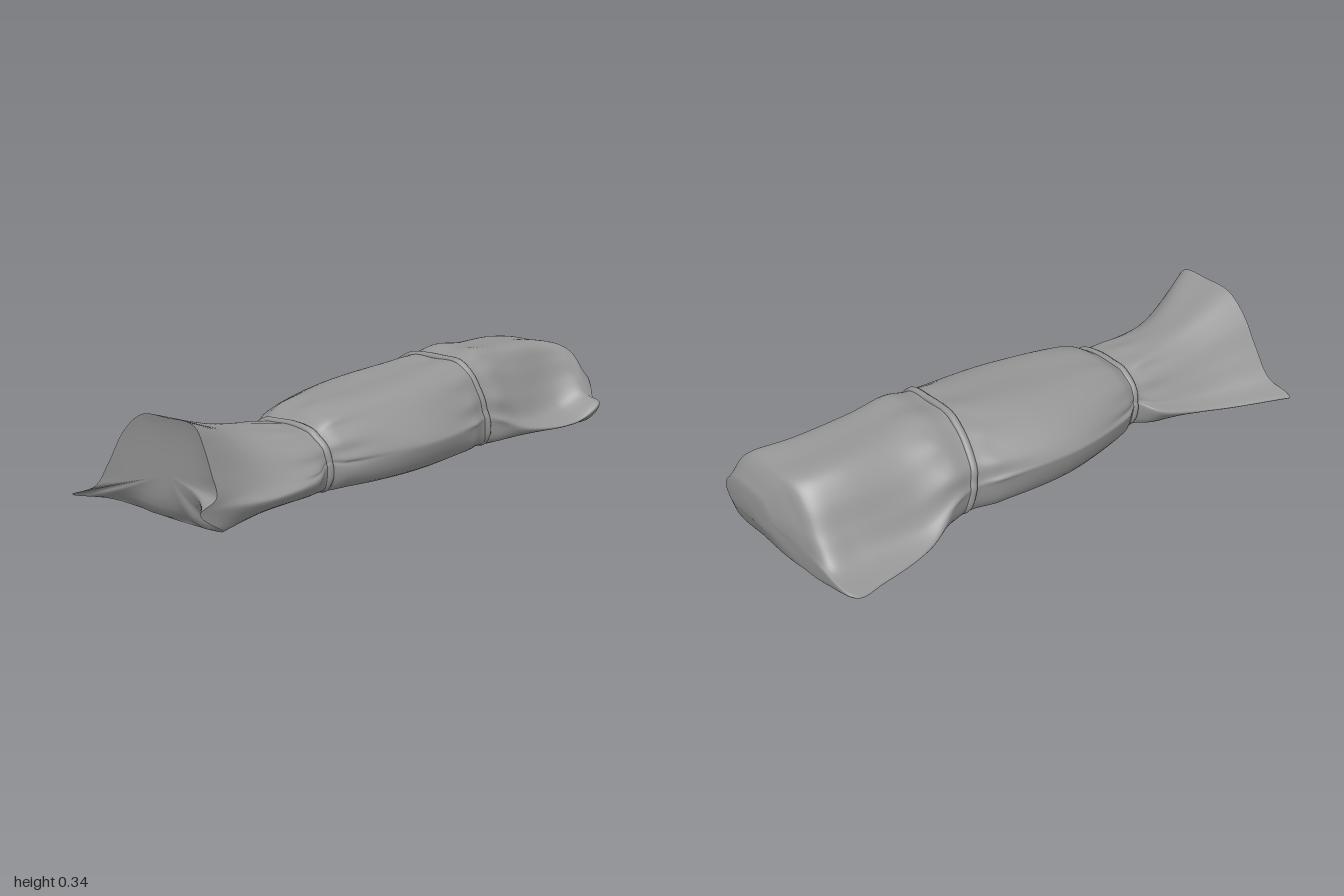
import * as THREE from 'three';

const V = (x, y, z) => new THREE.Vector3(x, y, z);
const lerp = THREE.MathUtils.lerp;
const SIDES = 96, STEPS = 8;
const TIES = [-0.38, 0.39];

// Cross-sections from head to foot:
// z, left edge x/y, left shoulder x, right shoulder x, right edge x/y, height, left and right fullness
const ROWS = [
  [-0.995, 0.01, 0.13, 0.06, 0.2, 0.27, 0.13, 0.2, 0.9, 0.9],
  [-0.96, -0.13, 0.07, 0.0, 0.2, 0.31, 0.08, 0.262, 0.85, 0.6],
  [-0.93, -0.36, 0.028, -0.05, 0.18, 0.355, 0.09, 0.288, 0.42, 0.38],
  [-0.82, -0.345, 0.022, -0.08, 0.14, 0.335, 0.035, 0.308, 0.43, 0.3],
  [-0.6, -0.295, 0.03, -0.08, 0.14, 0.28, 0.04, 0.317, 0.6, 0.55],
  [-0.46, -0.25, 0.1, -0.08, 0.15, 0.25, 0.08, 0.328, 0.82, 0.8],
  [-0.38, -0.235, 0.11, -0.08, 0.15, 0.235, 0.1, 0.312, 0.85, 0.8],
  [-0.29, -0.262, 0.12, -0.08, 0.15, 0.265, 0.1, 0.306, 0.82, 0.75],
  [0.0, -0.29, 0.13, -0.09, 0.15, 0.295, 0.1, 0.283, 0.82, 0.75],
  [0.32, -0.19, 0.1, -0.08, 0.13, 0.225, 0.09, 0.245, 0.85, 0.8],
  [0.39, -0.15, 0.1, -0.07, 0.12, 0.2, 0.1, 0.21, 0.85, 0.85],
  [0.46, -0.205, 0.07, -0.07, 0.1, 0.23, 0.08, 0.217, 0.55, 0.75],
  [0.67, -0.275, 0.03, -0.06, 0.07, 0.255, 0.07, 0.25, 0.5, 0.62],
  [0.935, -0.37, 0.02, -0.04, 0.18, 0.27, 0.1, 0.338, 0.5, 0.8],
];

// Points from the shoulder down to the outer edge on one side
const side = (s, x, y, h, k, z) => [
  V(s, h * 0.975, z),
  V(lerp(s, x, k * 0.55), lerp(y, h, 0.75), z),
  V(lerp(s, x, k), lerp(y, h, 0.42), z),
  V(lerp(s, x, Math.min(k + 0.2, 0.97)), lerp(y, h, 0.14), z),
];

// Control points round one cross-section: left edge, over the top, right edge, underside
function controls([z, xL, yL, sL, sR, xR, yR, h, kL, kR]) {
  const flare = Math.max(0, z - 0.67);
  const zBase = z - flare * 0.2;
  const yBase = z < -0.98 ? 0.09 : 0.012;
  return [
    V(xL, yL, z + flare * 0.05),
    ...side(sL, xL, yL, h, kL, z).reverse(),
    V((sL + sR) / 2, h, z),
    ...side(sR, xR, yR, h, kR, z),
    V(xR, yR, z + flare * 0.245),
    V(lerp(sR, xR, 0.65), yBase, zBase),
    V((sL + sR) / 2, yBase - 0.004, zBase),
    V(lerp(sL, xL, 0.7), yBase, zBase),
  ];
}

// One lengthwise curve for each control point
const sections = ROWS.map(controls);
const rails = sections[0].map((_, i) => new THREE.CatmullRomCurve3(sections.map(s => s[i])));

// Smooth closed loop of cloth at u along the bundle, gathered near the ties
function ringAt(u) {
  const loop = new THREE.CatmullRomCurve3(rails.map(r => r.getPoint(u)), true);
  const ring = [];
  for (let j = 0; j < SIDES; j++) {
    const t = j / SIDES;
    const p = loop.getPoint(t);
    const near = TIES.reduce((s, z) => s + Math.exp(-Math.abs(Math.abs(p.z - z) - 0.09) / 0.07), 0);
    const fold = Math.sin(t * Math.PI * 22 + p.z * 3) * 0.004 * near
      + Math.sin(t * Math.PI * 10 + p.z * 7) * 0.002;
    p.addScaledVector(V(p.x - 0.02, p.y - 0.13, 0).normalize(), fold);
    p.y = Math.max(p.y, 0.003);
    ring.push(p);
  }
  return ring;
}

const shrink = (ring, c, s, depth) =>
  ring.map(p => V(lerp(c.x, p.x, s), lerp(c.y, p.y, s), lerp(c.z, p.z, depth)));

// Skin a list of rings
function skin(rings) {
  const pos = [], index = [];
  rings.forEach(r => r.forEach(p => pos.push(p.x, p.y, p.z)));
  for (let i = 0; i < rings.length - 1; i++) {
    for (let j = 0; j < SIDES; j++) {
      const a = i * SIDES + j, b = i * SIDES + (j + 1) % SIDES;
      index.push(a, a + SIDES, b, b, a + SIDES, b + SIDES);
    }
  }
  const g = new THREE.BufferGeometry();
  g.setAttribute('position', new THREE.Float32BufferAttribute(pos, 3));
  g.setIndex(index);
  g.computeVertexNormals();
  return g;
}

export function createModel() {
  const group = new THREE.Group();
  const mat = new THREE.MeshStandardMaterial({ color: 0x969696, side: THREE.DoubleSide });
  const add = (name, geo) => {
    const m = new THREE.Mesh(geo, mat);
    m.name = name;
    group.add(m);
  };

  // Main wrapped cloth, closed at the head
  const count = (ROWS.length - 1) * STEPS;
  const rings = [];
  for (let i = 0; i <= count; i++) rings.push(ringAt(i / count));
  const head = V(0.14, 0.14, -1);
  const cap = [0.001, 0.4, 0.75].map(s => shrink(rings[0], head, s, s * s));
  add('wrappedCloth', skin([...cap, ...rings]));

  // Cloth closing the flared foot end, with soft folds towards the base
  const centre = V(0.05, 0.16, 0.925);
  const end = [1, 0.96, 0.9, 0.82, 0.7, 0.5, 0.25, 0.001].map(s => shrink(rings[count], centre, s, s ** 4));
  end.slice(1, 7).forEach(r => r.forEach((p, j) => {
    if (p.y < 0.1) p.z += Math.sin(j / SIDES * Math.PI * 30) * (0.1 - p.y) * 0.1;
  }));
  add('footEnd', skin(end));

  // Bands tied round the shoulders and ankles, sunk into the cloth
  [['shoulderTie', 6, 0.06], ['ankleTie', 10, 0.03]].forEach(([name, row, slant]) => {
    const loop = ringAt(row / (ROWS.length - 1)).filter((_, j) => j % 4 === 0);
    const path = loop.map(p => V(p.x * 0.985, Math.max(p.y * 0.985, 0.016), p.z + slant * (p.y / 0.3 - 0.6)));
    add(name, new THREE.TubeGeometry(new THREE.CatmullRomCurve3(path, true), 120, 0.014, 8, true));
  });

  return group;
}
